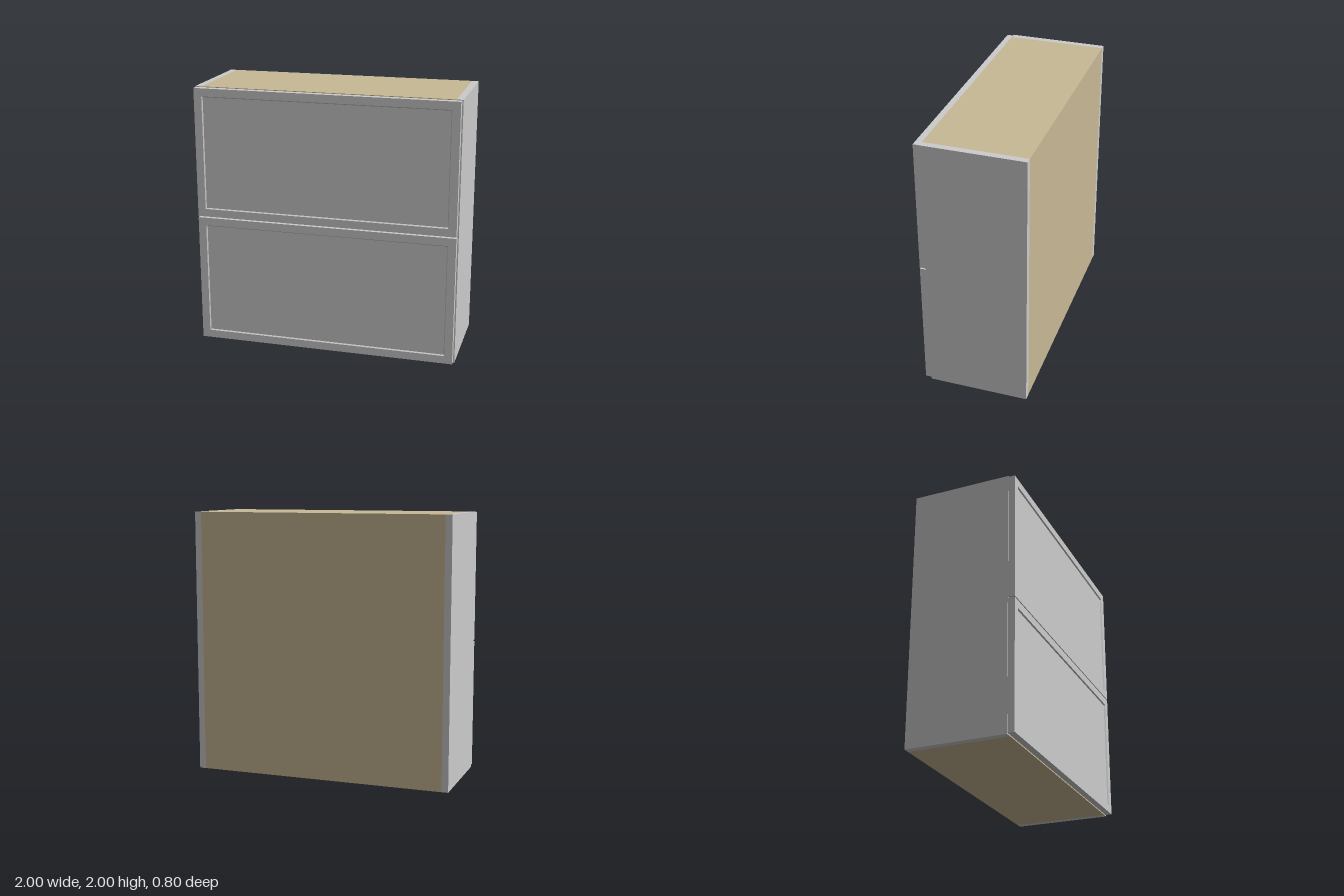
import * as THREE from 'three';

const grey = new THREE.MeshStandardMaterial({ color: 0xcccccc });
const beige = new THREE.MeshStandardMaterial({ color: 0xc8b996 });

// Box given by its minimum and maximum corners
function board(name, min, max, material) {
  const size = max.map((v, i) => v - min[i]);
  const mesh = new THREE.Mesh(new THREE.BoxGeometry(...size), material);
  mesh.position.set(...max.map((v, i) => (v + min[i]) / 2));
  mesh.name = name;
  return mesh;
}

// Rectangular rings [inset, z] joined from the back centre to the front centre
function panelGeometry(w, h, rings) {
  const pos = [];
  const corners = ([inset, z]) => {
    const x = w / 2 - inset, y = h / 2 - inset;
    return [[-x, -y, z], [x, -y, z], [x, y, z], [-x, y, z]];
  };
  const quad = (a, b, c, d) => pos.push(...a, ...b, ...c, ...a, ...c, ...d);
  const loops = rings.map(corners);
  for (let r = 0; r < loops.length - 1; r++) {
    for (let i = 0; i < 4; i++) {
      const j = (i + 1) % 4;
      quad(loops[r][i], loops[r][j], loops[r + 1][j], loops[r + 1][i]);
    }
  }
  const [a, b, c, d] = loops[0];
  quad(d, c, b, a);
  quad(...loops[loops.length - 1]);
  const geo = new THREE.BufferGeometry();
  geo.setAttribute('position', new THREE.Float32BufferAttribute(pos, 3));
  geo.computeVertexNormals();
  return geo;
}

export function createModel() {
  const group = new THREE.Group();
  group.name = 'wallCabinet';
  const t = 0.05, back = -0.4, front = 0.35, inner = 1 - t;

  // Carcass: grey sides, beige top, bottom and back
  group.add(
    board('rightSide', [-1, 0, back], [-inner, 2, front], grey),
    board('leftSide', [inner, 0, back], [1, 2, front], grey),
    board('bottom', [-inner, 0, back], [inner, t, front], beige),
    board('top', [-inner, 2 - t, back], [inner, 2, front], beige),
    board('backPanel', [-inner, t, back], [inner, 2 - t, back + 0.02], beige),
  );

  // Two flap doors with a shallow, bevelled recess
  const w = 1.985, h = 0.988;
  const doorGeometry = panelGeometry(w, h, [
    [0, front], [0, 0.4], [0.06, 0.4], [0.067, 0.39],
  ]);
  [['lowerDoor', 0.503], ['upperDoor', 1.501]].forEach(([name, y]) => {
    const door = new THREE.Mesh(doorGeometry, grey);
    door.name = name;
    door.position.set(-0.002, y, 0);
    group.add(door);
  });

  return group;
}
